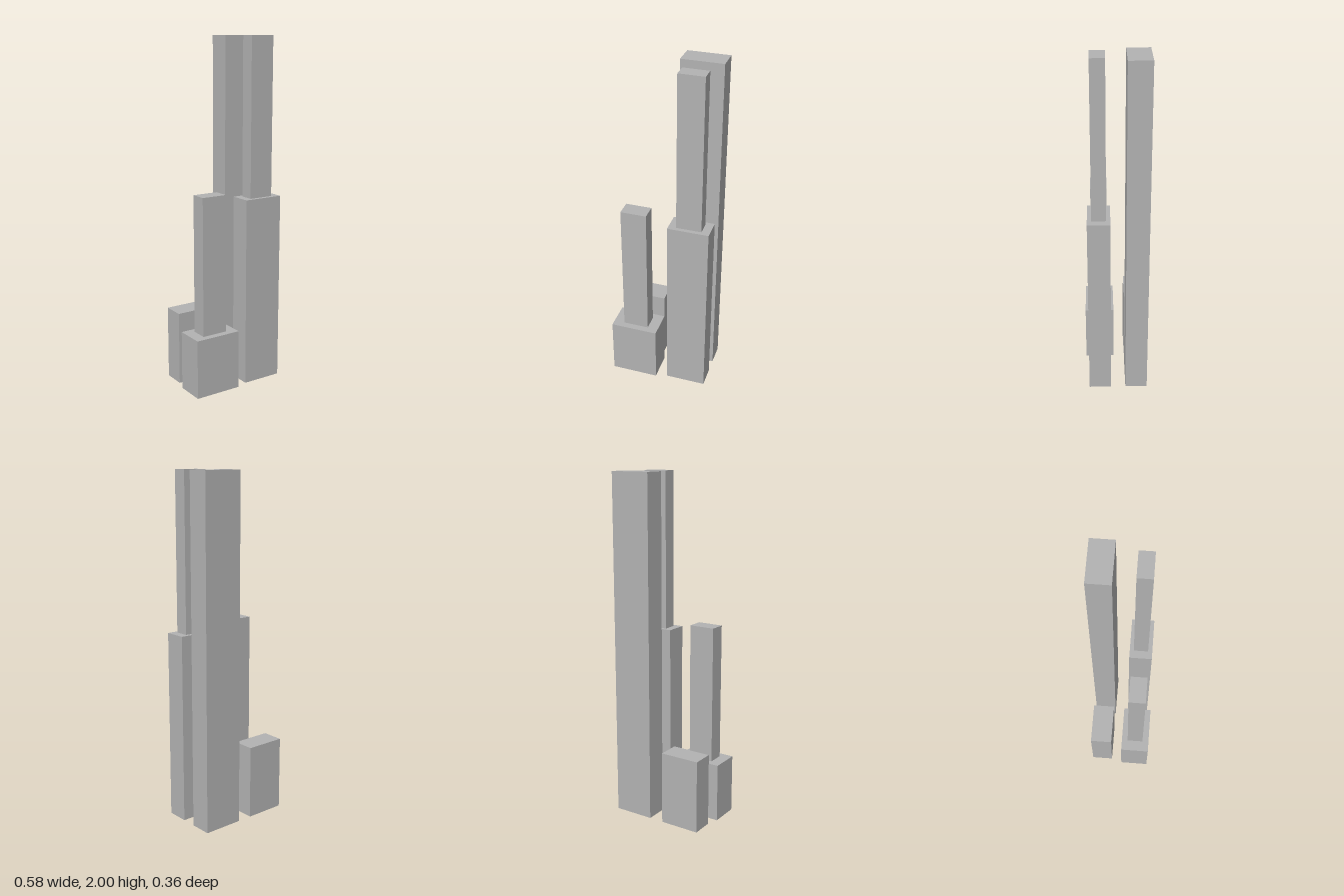
import * as THREE from 'three';

export function createModel() {
  const group = new THREE.Group();
  group.name = 'towerCluster';
  const concrete = new THREE.MeshStandardMaterial({ color: 0xb2b2b2 });
  concrete.name = 'concrete grey';

  // Upright block spanning the given x, y and z ranges
  function block(name, [x0, x1], [y0, y1], [z0, z1]) {
    const mesh = new THREE.Mesh(new THREE.BoxGeometry(x1 - x0, y1 - y0, z1 - z0), concrete);
    mesh.name = name;
    mesh.position.set((x0 + x1) / 2, (y0 + y1) / 2, (z0 + z1) / 2);
    group.add(mesh);
  }

  // Rear row: a tall slab and a low block
  block('rearTallSlab', [0.053, 0.29], [0, 2], [-0.182, -0.054]);
  block('rearLowBlock', [-0.269, -0.033], [0, 0.43], [-0.182, -0.054]);

  // Front left: slim tower on a high base
  block('tallTowerBase', [0.053, 0.29], [0, 1.1], [0.032, 0.16]);
  block('tallTowerShaft', [0.098, 0.243], [1.1, 2], [0.055, 0.136]);

  // Front right: shorter tower on a wide podium
  block('shortTowerPodium', [-0.29, -0.012], [0, 0.345], [0.011, 0.182]);
  block('shortTowerShaft', [-0.226, -0.075], [0.345, 1.143], [0.048, 0.143]);

  return group;
}
